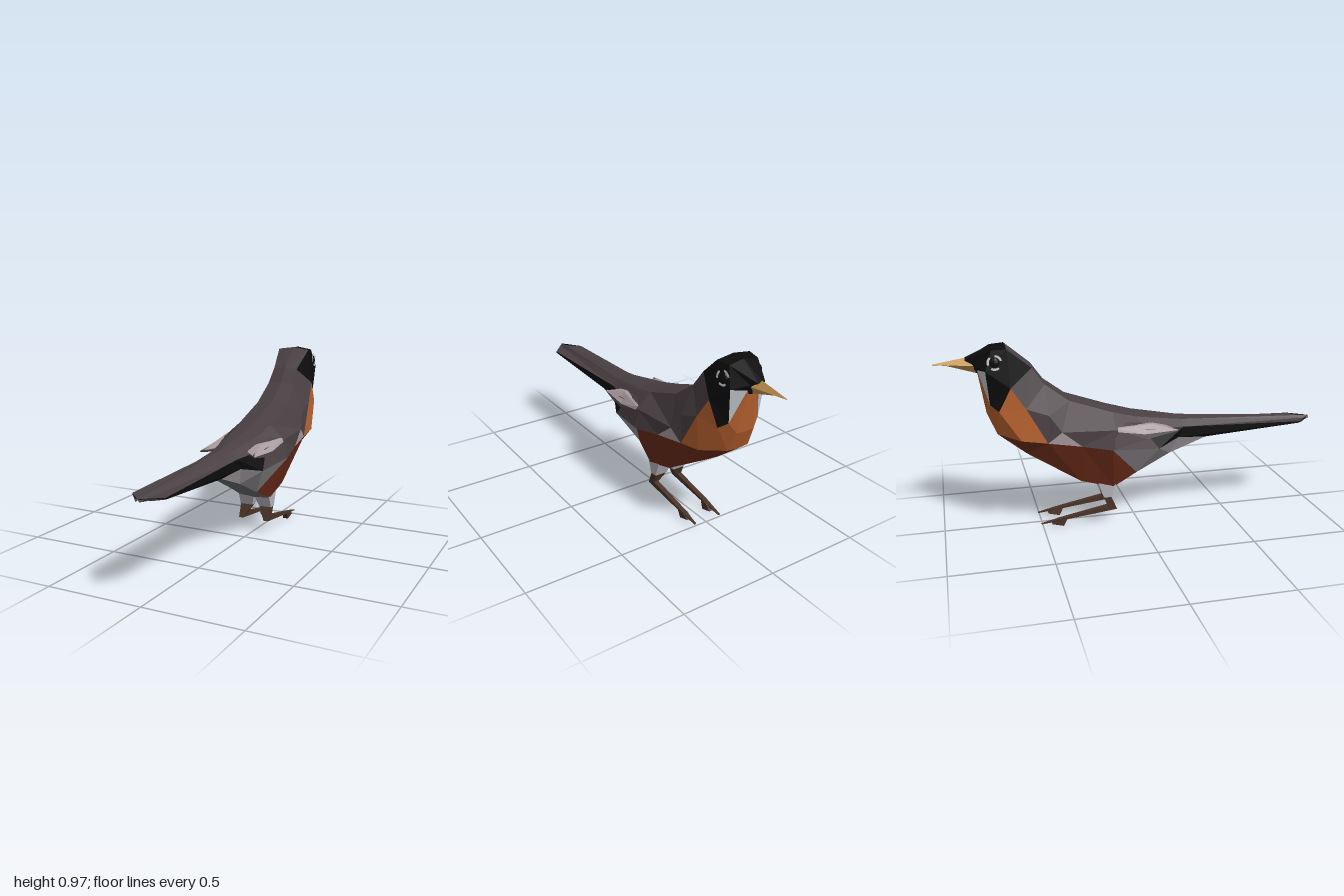
import * as THREE from 'three';

const COLORS = {
  back: 0x4a4044, black: 0x0c0c0c, breast: 0xb8622f, belly: 0x6d2d1a, flank: 0x9a9498,
  under: 0x6c6e72, covert: 0xa89a9e, thigh: 0xb4b2ba, leg: 0x4a3428, beak: 0xc89850, white: 0xc4c8cc,
};
const materials = {};
for (const k in COLORS) materials[k] = new THREE.MeshStandardMaterial({ color: COLORS[k], flatShading: true });

function makeMesh(name, color, tris) {
  const g = new THREE.BufferGeometry();
  g.setAttribute('position', new THREE.Float32BufferAttribute(tris.flat(2), 3));
  g.computeVertexNormals();
  const m = new THREE.Mesh(g, materials[color]);
  m.name = name;
  return m;
}
const flip = ([x, y, z]) => [-x, y, z];
const mirrored = (tris) => tris.map(([a, b, c]) => [flip(a), flip(c), flip(b)]);

// Closed loft through rings of corners, pointing outward whatever the ring order
function prism(rings) {
  const t = [], n = rings[0].length;
  for (let i = 0; i + 1 < rings.length; i++) {
    for (let j = 0; j < n; j++) {
      const k = (j + 1) % n, a = rings[i][j], b = rings[i + 1][j], c = rings[i + 1][k], d = rings[i][k];
      t.push([a, d, c], [a, c, b]);
    }
  }
  const s = rings[0], e = rings[rings.length - 1];
  for (let j = 1; j + 1 < n; j++) t.push([s[0], s[j + 1], s[j]], [e[0], e[j], e[j + 1]]);
  let volume = 0;
  for (const [a, b, c] of t) {
    volume += new THREE.Vector3(...a).dot(new THREE.Vector3(...b).cross(new THREE.Vector3(...c)));
  }
  return volume < 0 ? t.map(([a, b, c]) => [a, c, b]) : t;
}

// Half section: spine, upper back beside it, shoulder, flank, belly edge, keel just below it
const section = (y, z, halfBack, shoulder, flank, belly) => [
  [0, y, z], [halfBack, y - .013, z], shoulder, flank, belly, [0, belly[1] - .006, belly[2]],
];
// From tail tip to face
const SECTIONS = [
  section(.482, 1, .01, [.085, .476, .91], [.085, .468, .91], [.05, .468, .95]),
  section(.54, .25, .05, [.085, .495, .25], [.088, .44, .22], [.065, .425, .38]),
  section(.58, 0, .08, [.135, .51, .02], [.155, .41, .1], [.065, .35, .18]),
  section(.615, -.13, .09, [.17, .53, -.13], [.186, .43, -.15], [.072, .26, 0]),
  section(.69, -.35, .09, [.155, .535, -.4], [.162, .455, -.3], [.09, .195, -.13]),
  section(.78, -.47, .08, [.138, .62, -.46], [.146, .48, -.47], [.09, .245, -.3]),
  section(.865, -.53, .07, [.132, .66, -.57], [.14, .5, -.6], [.08, .415, -.57]),
  section(.966, -.65, .092, [.12, .765, -.64], [.115, .65, -.7], [.06, .522, -.71]),
  section(.962, -.72, .08, [.098, .85, -.755], [.085, .68, -.74], [.05, .628, -.755]),
  section(.905, -.845, .018, [.033, .875, -.81], [.03, .845, -.79], [.02, .825, -.787]),
];

// Plumage of each strip between two sections; a pair colours its two triangles
const K = 'back', N = 'black', R = 'breast', L = 'belly', F = 'flank', G = 'under';
const PLUMAGE = [
  [K, K, N, N, N],
  [K, K, N, F, G],
  [K, K, K, F, G],
  [K, K, K, L, G],
  [K, K, [K, 'covert'], L, L],
  [K, K, [K, R], L, L],
  [K, [N, K], R, [R, L], L],
  [N, N, N, R, R],
  [N, N, [N, 'white'], R, R],
];

function buildBody(group) {
  const bins = {};
  const add = (c, ...tri) => (bins[c] ||= []).push(tri);
  PLUMAGE.forEach((strips, i) => strips.forEach((color, j) => {
    const [up, low] = Array.isArray(color) ? color : [color, color];
    const a = SECTIONS[i][j], b = SECTIONS[i + 1][j], c = SECTIONS[i + 1][j + 1], d = SECTIONS[i][j + 1];
    // The breast edge climbs the other way across the shoulder
    if (i === 5 && j === 2) { add(up, a, d, b); add(low, d, c, b); }
    else { add(up, a, c, b); add(low, a, d, c); }
  }));
  const tail = SECTIONS[0], face = SECTIONS[SECTIONS.length - 1];
  for (let j = 1; j < 5; j++) {
    add('black', tail[0], tail[j + 1], tail[j]);
    add('black', face[0], face[j], face[j + 1]);
  }
  const names = { back: 'backAndTail', black: 'headAndUndertail', breast: 'breast', belly: 'belly',
    flank: 'flanks', under: 'vent', covert: 'shoulderPatches', white: 'cheeks' };
  for (const c in bins) group.add(makeMesh(names[c], c, [...bins[c], ...mirrored(bins[c])]));
}

export function createModel() {
  const model = new THREE.Group();
  model.name = 'bird';
  buildBody(model);

  const pair = (name, color, tris) => {
    model.add(makeMesh(name + 'Left', color, tris), makeMesh(name + 'Right', color, mirrored(tris)));
  };

  // Folded wings: dark wedge with a pale upper panel
  pair('wing', 'back', prism([
    [[.1, .575, -.13], [.165, .535, -.14], [.19, .435, -.14], [.12, .46, -.13]],
    [[.09, .54, .04], [.15, .518, .04], [.168, .47, .03], [.11, .46, .03]],
    [[.095, .505, .15], [.15, .505, .2], [.155, .498, .2], [.1, .495, .15]],
  ]));
  pair('wingPanel', 'covert', prism([
    [[.155, .54, -.12], [.165, .537, -.12], [.172, .52, -.12]],
    [[.1, .537, .07], [.125, .537, .07], [.172, .498, .02]],
    [[.088, .515, .15], [.12, .516, .15], [.157, .503, .2]],
  ]));

  // Legs: each slab is a cross-section from x0 to x1 between two (y, z) edges
  const slab = (x0, x1, y0, z0, y1, z1) => [[x0, y0, z0], [x1, y0, z0], [x1, y1, z1], [x0, y1, z1]];
  pair('thigh', 'thigh', prism([
    slab(0, .092, .21, -.115, .225, -.21),
    slab(.02, .092, .14, -.14, .14, -.18),
  ]));
  pair('shank', 'leg', prism([
    slab(.022, .09, .14, -.14, .14, -.178),
    slab(.062, .088, .068, -.11, .08, -.155),
  ]));
  pair('foot', 'leg', prism([
    slab(.062, .088, .068, -.11, .094, -.145),
    slab(.062, .088, .035, -.39, .046, -.39),
    slab(.07, .08, .018, -.51, .022, -.51),
  ]));
  pair('toe', 'leg', prism([
    slab(.06, .088, .04, -.375, .04, -.42),
    slab(.055, .086, 0, -.395, .016, -.455),
  ]));

  // Beak: upper and lower halves, each a diamond tapering to its tip
  const beak = (top, bottom, tipY, tipZ) => prism([
    [[0, ...top], [.03, .865, -.79], [0, ...bottom], [-.03, .865, -.79]],
    [[0, tipY + .002, tipZ], [.002, tipY, tipZ], [0, tipY - .002, tipZ], [-.002, tipY, tipZ]],
  ]);
  model.add(makeMesh('upperBeak', 'beak', beak([.908, -.82], [.855, -.79], .876, -1)));
  model.add(makeMesh('lowerBeak', 'beak', beak([.87, -.79], [.822, -.785], .868, -.93)));

  // Eyes with a broken pale ring
  for (const s of [1, -1]) {
    const eye = new THREE.Group();
    eye.name = s > 0 ? 'eyeLeft' : 'eyeRight';
    const ball = new THREE.Mesh(new THREE.SphereGeometry(.024, 8, 6), materials.black);
    ball.scale.z = .5;
    ball.name = 'eyeball';
    eye.add(ball);
    for (const start of [.3, 2.3, 4.2]) {
      const arc = new THREE.Mesh(new THREE.RingGeometry(.027, .038, 4, 1, start, 1.2), materials.white);
      arc.position.z = .006;
      arc.name = 'eyeRing';
      eye.add(arc);
    }
    eye.position.set(s * .098, .892, -.708);
    eye.lookAt(s * 1.098, 1.03, -.86);
    model.add(eye);
  }
  return model;
}
